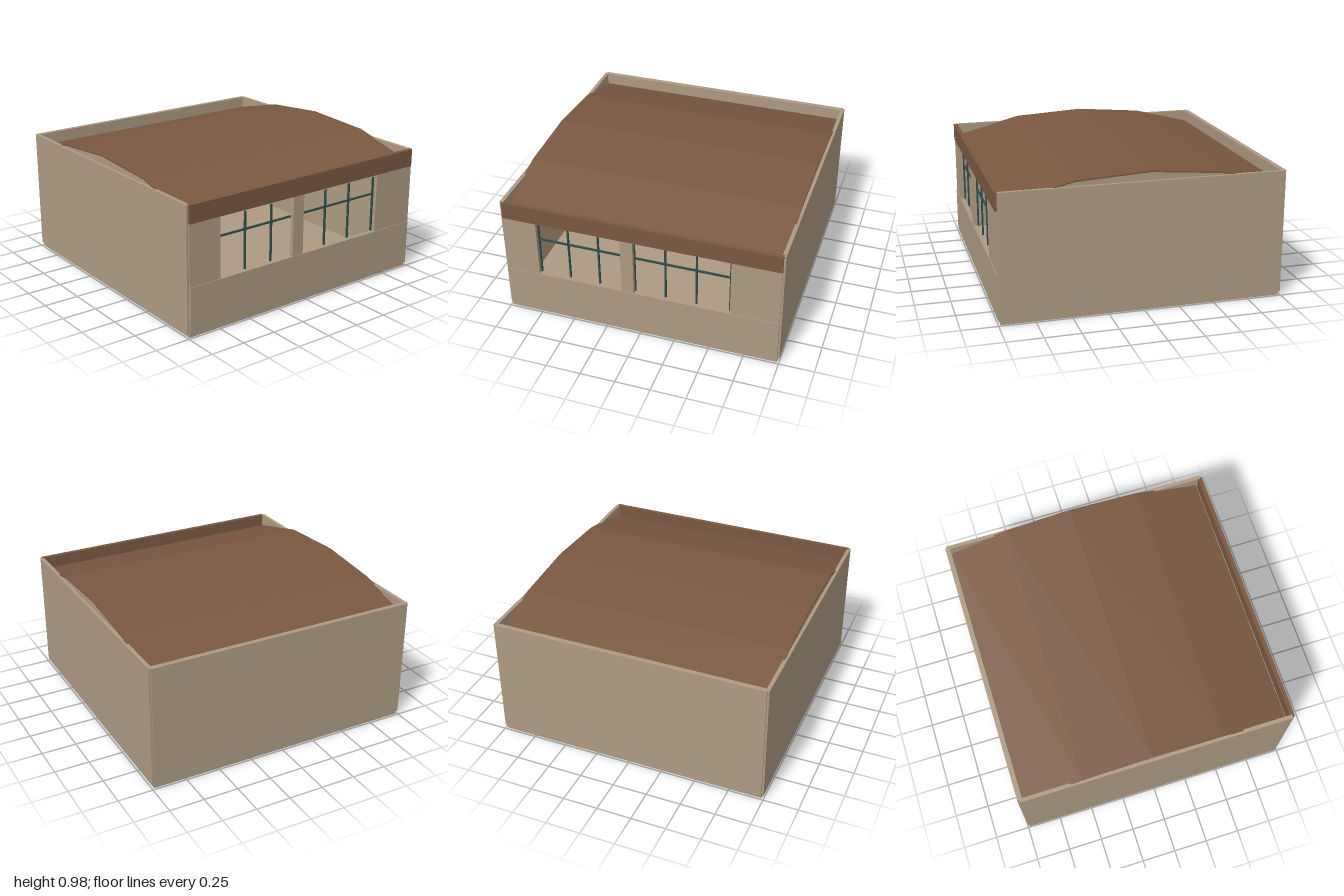
import * as THREE from 'three';

const wallMat = new THREE.MeshStandardMaterial({ color: 0xad9a82 });
wallMat.name = 'sand plaster';
const roofMat = new THREE.MeshStandardMaterial({ color: 0x7a5841 });
roofMat.name = 'brown timber';
const frameMat = new THREE.MeshStandardMaterial({ color: 0x2f4d4b });
frameMat.name = 'dark teal metal';

// Roof line across x, from the left eave to the right one
const ROOF = [[-0.965, 0.825], [-0.54, 0.932], [-0.04, 0.976], [0.48, 0.947], [0.955, 0.825]];

export function createModel() {
  const model = new THREE.Group();
  const add = (name, geometry, material) => {
    const mesh = new THREE.Mesh(geometry, material);
    mesh.name = name;
    model.add(mesh);
    return mesh;
  };
  // Box given by its limits on each axis
  const box = (name, material, [x0, x1], [y0, y1], [z0, z1]) =>
    add(name, new THREE.BoxGeometry(x1 - x0, y1 - y0, z1 - z0), material)
      .position.set((x0 + x1) / 2, (y0 + y1) / 2, (z0 + z1) / 2);
  // Band that follows the roof line, extruded along z
  const roofBand = (name, material, top, bottom, z0, z1) => {
    const upper = ROOF.map(([x, y]) => new THREE.Vector2(x, y - top));
    const lower = ROOF.map(([x, y]) => new THREE.Vector2(x, y - bottom)).reverse();
    const geometry = new THREE.ExtrudeGeometry(new THREE.Shape([...upper, ...lower]),
      { depth: z1 - z0, bevelEnabled: false });
    add(name, geometry, material).position.z = z0;
  };

  // Floor slab
  box('floorSlab', wallMat, [-0.985, 0.985], [0, 0.032], [-0.985, 0.985]);

  // Front and back walls with gables rising under the roof
  for (const [side, s] of [['front', 1], ['back', -1]]) {
    const span = (a, b) => [Math.min(a * s, b * s), Math.max(a * s, b * s)];
    box(side + 'Wall', wallMat, [-0.99, 0.985], [0.03, 0.91], span(0.973, 1));
    roofBand(side + 'Gable', wallMat, 0.008, 0.1, ...span(0.955, 0.978));
  }

  // Closed side wall
  box('closedSideWall', wallMat, [-1, -0.965], [0.03, 0.91], [-0.986, 0.986]);

  // Window side: low wall, piers and timber fascia
  box('lowWall', wallMat, [0.966, 1], [0.03, 0.354], [-0.986, 0.986]);
  for (const z of [[0.743, 0.986], [0.04, 0.13], [-0.986, -0.645]])
    box('windowPier', wallMat, [0.966, 0.995], [0.354, 0.784], z);
  box('fascia', roofMat, [0.969, 1], [0.784, 0.91], [-0.986, 0.986]);

  // Window bars
  for (const z of [0.738, 0.52, 0.3, 0.039, -0.182, -0.402, -0.638])
    box('mullion', frameMat, [0.957, 0.969], [0.354, 0.76], [z - 0.006, z + 0.006]);
  for (const z of [[0.13, 0.74], [-0.64, 0.04]])
    box('transom', frameMat, [0.957, 0.969], [0.63, 0.642], z);

  // Roof deck and the rafters below it
  roofBand('roofDeck', roofMat, 0, 0.01, -0.983, 0.983);
  for (let i = -3; i <= 3; i++)
    roofBand('rafter', roofMat, 0.008, 0.042, i * 0.27 - 0.015, i * 0.27 + 0.015);

  return model;
}
